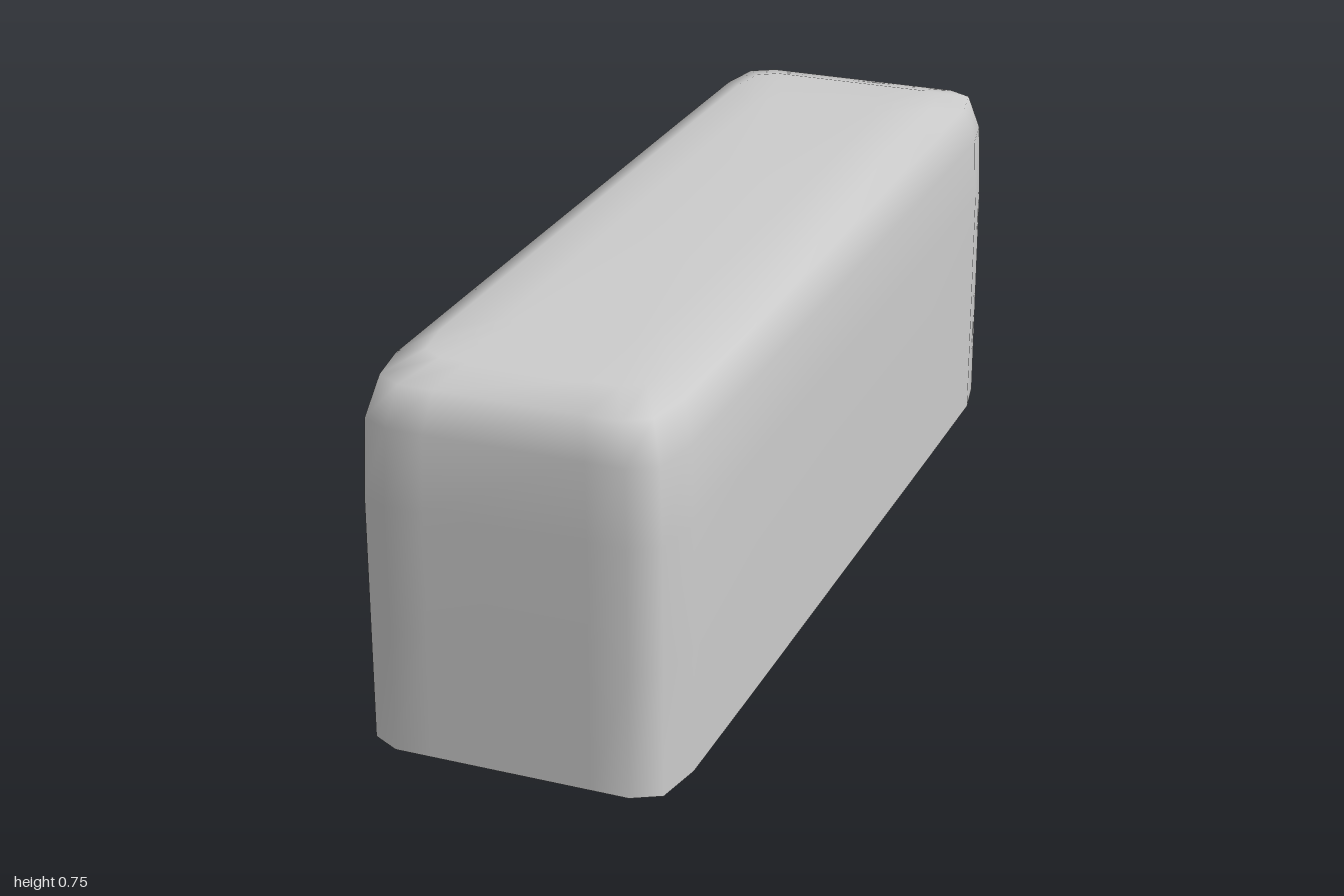
import * as THREE from 'three';

const material = new THREE.MeshStandardMaterial({ color: 0xcccccc });
const shellMaterial = new THREE.MeshStandardMaterial({ color: 0xcccccc, side: THREE.DoubleSide });

const HALF_X = 0.308, HALF_Z = 1, CENTRE_X = 0.028;

// Plan outline of the body, one rounded quadrant mirrored to four
function planOutline() {
  const quadrant = [
    [HALF_X, HALF_Z - 0.45], [HALF_X - 0.001, HALF_Z - 0.13], [HALF_X - 0.02, HALF_Z - 0.03],
    [HALF_X - 0.075, HALF_Z], [HALF_X - 0.15, HALF_Z],
  ];
  const reversed = [...quadrant].reverse();
  return [
    ...quadrant,
    ...reversed.map(([x, z]) => [-x, z]),
    ...quadrant.map(([x, z]) => [-x, -z]),
    ...reversed.map(([x, z]) => [x, -z]),
  ];
}

// Open-bottomed shell: outlines stacked upward, pulled in towards the top
function bodyGeometry() {
  const outline = planOutline();
  // height, inset in x, inset in z
  const levels = [
    [0, 0, 0], [0.25, 0, 0], [0.5, 0, 0], [0.65, 0.006, 0.005],
    [0.727, 0.028, 0.03], [0.749, 0.08, 0.12], [0.755, 0.17, 0.3],
  ];
  const n = outline.length;
  const positions = [], indices = [];
  for (const [y, insetX, insetZ] of levels) {
    for (const [x, z] of outline) {
      positions.push(CENTRE_X + x * (1 - insetX / HALF_X), y, z * (1 - insetZ / HALF_Z));
    }
  }
  for (let j = 0; j < levels.length - 1; j++) {
    for (let i = 0; i < n; i++) {
      const a = j * n + i, b = j * n + (i + 1) % n;
      indices.push(a, a + n, b, b, a + n, b + n);
    }
  }
  // Top cap
  const centre = levels.length * n, last = centre - n;
  positions.push(CENTRE_X, 0.755, 0);
  for (let i = 0; i < n; i++) indices.push(last + i, centre, last + (i + 1) % n);

  const geometry = new THREE.BufferGeometry();
  geometry.setAttribute('position', new THREE.Float32BufferAttribute(positions, 3));
  geometry.setIndex(indices);
  geometry.computeVertexNormals();
  return geometry;
}

// Drawer front with a half-round knob, on the right side wall
function createDrawer(y, z) {
  const drawer = new THREE.Group();
  drawer.name = 'drawer';

  const panel = new THREE.Mesh(new THREE.BoxGeometry(0.022, 0.207, 0.57), material);
  panel.name = 'drawerFront';
  panel.position.x = -0.279;

  const knob = new THREE.Mesh(
    new THREE.SphereGeometry(0.05, 8, 8, -Math.PI / 2, Math.PI), material);
  knob.name = 'drawerKnob';
  knob.position.x = -0.288;

  drawer.add(panel, knob);
  drawer.position.set(0, y, z);
  return drawer;
}

export function createModel() {
  const model = new THREE.Group();
  model.name = 'drawerBlock';

  const body = new THREE.Mesh(bodyGeometry(), shellMaterial);
  body.name = 'body';
  model.add(body);

  for (const y of [0.236, 0.504]) {
    for (const z of [-0.443, 0.435]) model.add(createDrawer(y, z));
  }
  return model;
}
